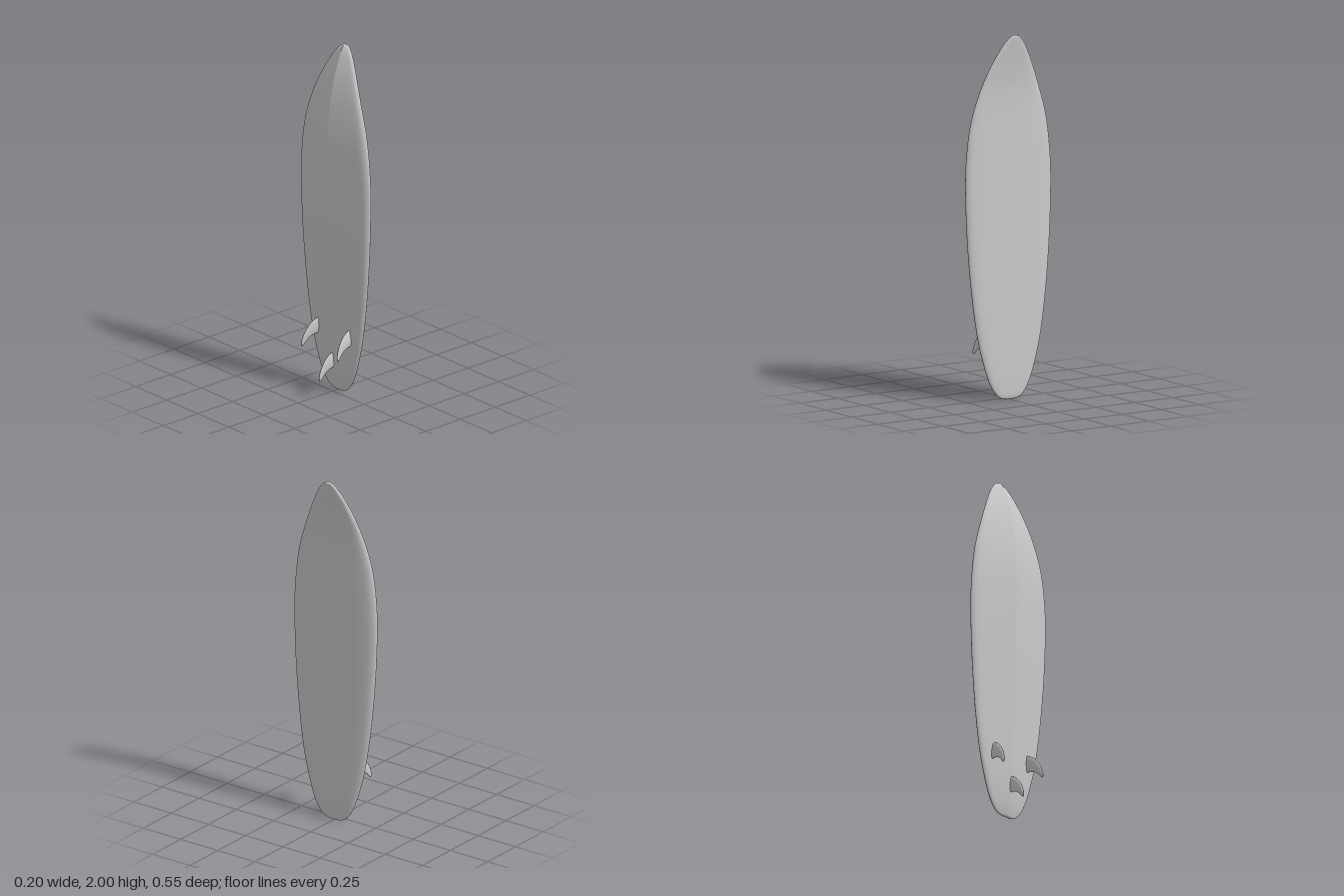
import * as THREE from 'three';

const material = new THREE.MeshStandardMaterial({ color: 0xcccccc, roughness: 0.6 });

// Skin a list of open rings; first and last ring points coincide, leaving a crease there
function loft(rings) {
  const n = rings[0].length;
  const index = [];
  for (let i = 0; i < rings.length - 1; i++) {
    for (let j = 0; j < n - 1; j++) {
      const a = i * n + j, b = a + 1, c = b + n, d = a + n;
      index.push(a, b, c, a, c, d);
    }
  }
  const geometry = new THREE.BufferGeometry().setFromPoints(rings.flat());
  geometry.setIndex(index);
  geometry.computeVertexNormals();
  return geometry;
}

function createBoard() {
  // Stations from tail to nose: height, half width, bottom ridge x, deck x
  const stations = [
    [0, 0, 0.038, 0.038], [0.005, 0.045, 0.029, 0.045], [0.025, 0.082, 0.022, 0.05],
    [0.08, 0.122, 0.01, 0.053], [0.18, 0.161, -0.003, 0.055], [0.35, 0.205, -0.015, 0.056],
    [0.6, 0.242, -0.026, 0.056], [0.9, 0.268, -0.038, 0.056], [1.2, 0.277, -0.045, 0.056],
    [1.4, 0.264, -0.045, 0.056], [1.55, 0.238, -0.036, 0.056], [1.7, 0.189, -0.016, 0.06],
    [1.82, 0.138, 0.01, 0.073], [1.91, 0.091, 0.038, 0.087], [1.965, 0.053, 0.059, 0.096],
    [1.992, 0.024, 0.076, 0.099], [2, 0, 0.09, 0.09],
  ];
  const curve = (k) => new THREE.CatmullRomCurve3(
    stations.map((s) => new THREE.Vector3(s[1], s[0], s[k])), false, 'catmullrom', 0.5);
  const bottom = curve(2), deck = curve(3);

  // Half section: share of the half width, share of the thickness (V bottom, round rail, flat deck)
  const half = new THREE.SplineCurve([
    [0, 0], [0.3, 0.15], [0.6, 0.29], [0.84, 0.41], [0.95, 0.52], [1, 0.68],
    [0.95, 0.83], [0.83, 0.93], [0.6, 0.985], [0.3, 1], [0, 1],
  ].map(([u, v]) => new THREE.Vector2(u, v))).getPoints(40);
  const section = [
    ...half,
    ...half.slice(0, -1).reverse().map((p) => new THREE.Vector2(-p.x, p.y)),
  ];

  const rings = [];
  const steps = 128;
  for (let i = 0; i <= steps; i++) {
    const lo = bottom.getPoint(i / steps), hi = deck.getPoint(i / steps);
    rings.push(section.map((p) => new THREE.Vector3(
      THREE.MathUtils.lerp(lo.z, hi.z, p.y), Math.max(0, lo.y), p.x * Math.max(0, lo.x))));
  }
  const board = new THREE.Mesh(loft(rings), material);
  board.name = 'board';
  return board;
}

// Swept fin pointing to -x, with its root around the origin
function createFinGeometry() {
  const path = (points) => new THREE.SplineCurve(points.map(([x, y]) => new THREE.Vector2(x, y)));
  const leading = path([[0.015, 0.075], [-0.02, 0.062], [-0.055, 0.035], [-0.085, -0.012], [-0.099, -0.055], [-0.095, -0.08]]);
  const trailing = path([[0.015, -0.022], [-0.015, -0.025], [-0.04, -0.034], [-0.065, -0.053], [-0.083, -0.075], [-0.095, -0.08]]);
  const rings = [];
  const steps = 28, sides = 24;
  for (let i = 0; i <= steps; i++) {
    const t = i / steps;
    const front = leading.getPoint(t), back = trailing.getPoint(t);
    const thickness = 0.0095 * Math.sqrt(1 - t ** 4) * (1 - 0.3 * t);
    const ring = [];
    for (let j = 0; j <= sides; j++) {
      const angle = (j / sides) * Math.PI * 2;
      const p = back.clone().lerp(front, (1 - Math.cos(angle)) / 2);
      ring.push(new THREE.Vector3(p.x, p.y, Math.sin(angle) * thickness));
    }
    rings.push(ring);
  }
  return loft(rings);
}

export function createModel() {
  const model = new THREE.Group();
  model.name = 'surfboard';
  model.add(createBoard());

  const finGeometry = createFinGeometry();
  const addFin = (name, y, z, side) => {
    const fin = new THREE.Mesh(finGeometry, material);
    fin.name = name;
    fin.position.set(0, y, z);
    // Side fins toe in and lean outward
    fin.rotation.set(-0.08 * side, 0.1 * side, 0);
    model.add(fin);
  };
  addFin('centerFin', 0.16, 0, 0);
  addFin('leftFin', 0.32, 0.13, 1);
  addFin('rightFin', 0.32, -0.13, -1);
  return model;
}
